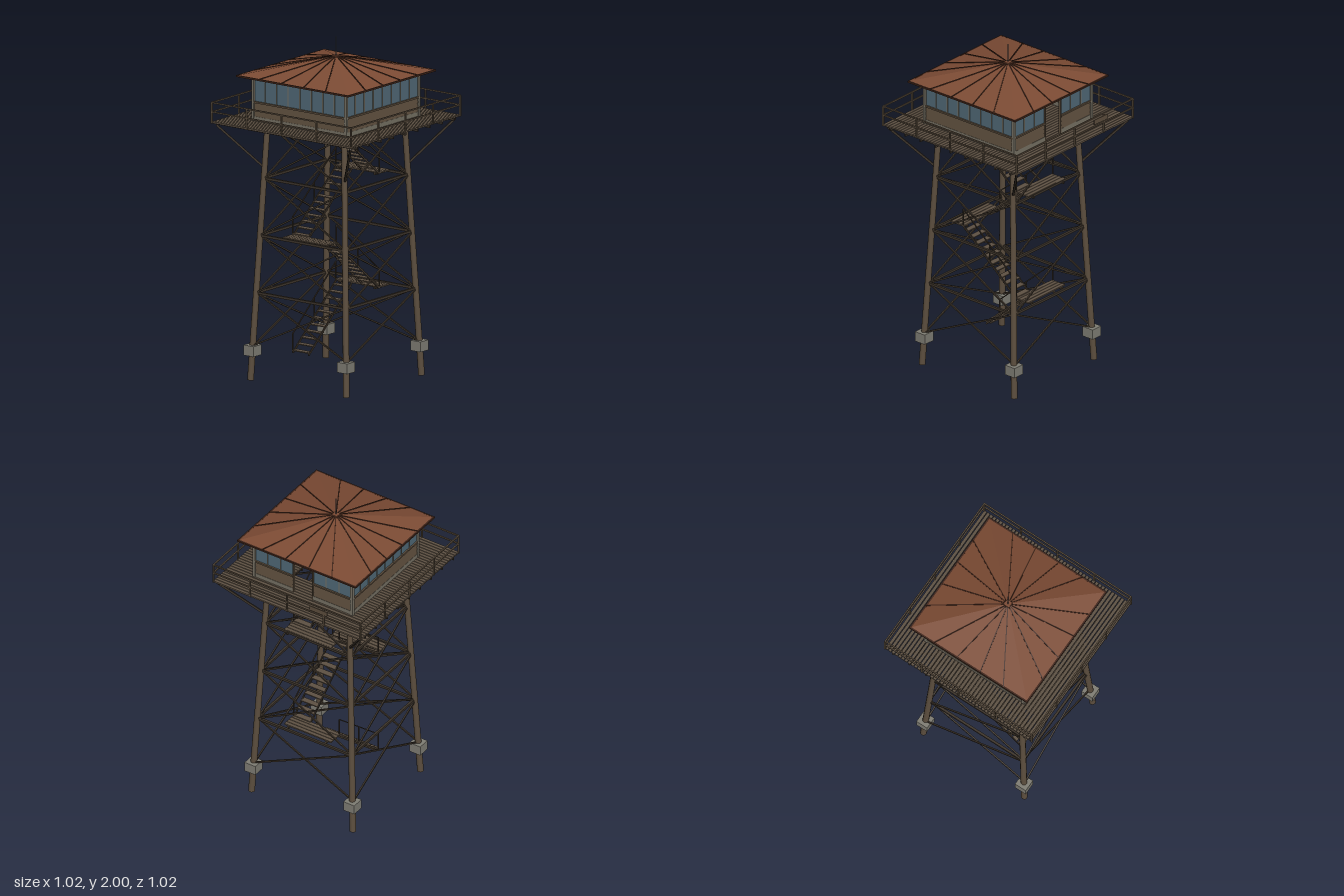
import * as THREE from 'three';

const mat = (name, color) => Object.assign(new THREE.MeshStandardMaterial({ color }), { name });

export function createModel() {
  const timber = mat('leg timber', 0x5c4e3e);
  const brace = mat('dark brace', 0x3d342a);
  const plank = mat('deck plank', 0x5e5143);
  const roofMat = mat('rust roof', 0x7c4b34);
  const seamMat = mat('roof seam', 0x402519);
  const glass = mat('window glass', 0x506876);
  const siding = mat('siding', 0x5c4d3c);
  const trim = mat('pale trim', 0x757063);
  const concrete = mat('concrete', 0x7f7d74);
  const metal = mat('mast metal', 0x4a5058);

  const model = new THREE.Group();
  model.name = 'lookoutTower';
  const group = (name, parent = model) => {
    const g = new THREE.Group();
    g.name = name;
    parent.add(g);
    return g;
  };
  const add = (parent, name, geo, m, x = 0, y = 0, z = 0) => {
    const mesh = new THREE.Mesh(geo, m);
    mesh.name = name;
    mesh.position.set(x, y, z);
    parent.add(mesh);
    return mesh;
  };
  const box = (parent, name, m, w, h, d, x, y, z) =>
    add(parent, name, new THREE.BoxGeometry(w, h, d), m, x, y, z);
  // Rectangular bar between two points, aimed in its parent's own frame
  const beam = (parent, name, m, a, b, w, h = w) => {
    const p = new THREE.Vector3(...a), q = new THREE.Vector3(...b);
    const mesh = new THREE.Mesh(new THREE.BoxGeometry(w, h, p.distanceTo(q)), m);
    mesh.name = name;
    mesh.position.copy(p).add(q).multiplyScalar(0.5);
    mesh.lookAt(q);
    parent.add(mesh);
  };
  // Four copies facing front, left, back and right
  const fourSides = (parent, build) => {
    for (let k = 0; k < 4; k++) {
      const g = group('side' + k, parent);
      g.rotation.y = k * Math.PI / 2;
      build(g, k);
    }
  };

  // Legs, footings, cross bracing and corner struts
  const legAt = y => 0.347 - 0.046 * y;
  const levels = [0.2, 0.51, 0.845, 1.18, 1.5];
  fourSides(group('frame'), g => {
    const a = new THREE.Vector3(legAt(0), 0, legAt(0));
    const b = new THREE.Vector3(legAt(1.5), 1.5, legAt(1.5));
    const leg = add(g, 'leg', new THREE.CylinderGeometry(0.017, 0.019, a.distanceTo(b), 12), timber);
    leg.position.copy(a).add(b).multiplyScalar(0.5);
    leg.quaternion.setFromUnitVectors(new THREE.Vector3(0, 1, 0), b.clone().sub(a).normalize());
    box(g, 'footing', concrete, 0.074, 0.06, 0.074, legAt(0.175), 0.175, legAt(0.175));
    for (let i = 0; i < 4; i++) {
      const y0 = levels[i], y1 = levels[i + 1], r0 = legAt(y0), r1 = legAt(y1);
      beam(g, 'crossBrace', brace, [-r0, y0, r0 + 0.005], [r1, y1, r1 + 0.005], 0.009);
      beam(g, 'crossBrace', brace, [r0, y0, r0 - 0.005], [-r1, y1, r1 - 0.005], 0.009);
      if (i) beam(g, 'girt', brace, [-r0, y0, r0], [r0, y0, r0], 0.014);
    }
    beam(g, 'deckStrut', brace, [legAt(1.24), 1.24, legAt(1.24)], [0.485, 1.5, 0.485], 0.012);
  });

  // Deck planks and joists, leaving the stair hatch open
  const deck = group('deck');
  const hatch = { x0: -0.22, x1: 0.19, z0: 0.04, z1: 0.155 };
  const strip = (name, m, x, y, w, h) => {
    const open = x > hatch.x0 && x < hatch.x1;
    const spans = open ? [[-0.505, hatch.z0], [hatch.z1, 0.505]] : [[-0.505, 0.505]];
    for (const [s, e] of spans) box(deck, name, m, w, h, e - s, x, y, (s + e) / 2);
  };
  for (let i = 0; i < 46; i++) strip('plank', plank, -0.495 + i * 0.022, 1.515, 0.018, 0.01);
  for (let i = -4; i <= 4; i++) strip('joist', brace, i * 0.113, 1.502, 0.01, 0.016);
  for (const z of [hatch.z0, hatch.z1]) box(deck, 'hatchBeam', brace, 1.0, 0.008, 0.006, 0, 1.513, z);

  // Guard rail round the deck
  fourSides(group('railing'), g => {
    for (const y of [1.577, 1.632]) box(g, 'rail', timber, 1.016, 0.008, 0.008, 0, y, 0.504);
    for (let i = 0; i < 4; i++) box(g, 'post', timber, 0.009, 0.122, 0.009, -0.504 + i * 0.252, 1.571, 0.504);
  });
  box(model, 'railPanel', siding, 0.006, 0.03, 0.12, 0.509, 1.606, -0.22);

  // Cabin walls: lapped boards, window band and an open doorway on the left
  fourSides(group('cabin'), (g, k) => {
    const spans = k === 1 ? [[-0.335, -0.067], [0.067, 0.335]] : [[-0.335, 0.335]];
    box(g, 'cornerPost', trim, 0.018, 0.262, 0.018, 0.335, 1.651, 0.335);
    box(g, 'topPlate', siding, 0.67, 0.012, 0.014, 0, 1.776, 0.334);
    for (const [s, e] of spans) {
      const w = e - s, c = (s + e) / 2, n = Math.round(w / 0.084);
      box(g, 'baseTrim', trim, w, 0.026, 0.014, c, 1.533, 0.333);
      for (let i = 0; i < 3; i++) {
        const board = box(g, 'sidingBoard', siding, w, 0.029, 0.01, c, 1.559 + i * 0.026, 0.331);
        board.rotation.x = -0.18;
      }
      box(g, 'sill', siding, w, 0.01, 0.02, c, 1.63, 0.334);
      box(g, 'windowBand', glass, w, 0.142, 0.006, c, 1.703, 0.331);
      for (let i = 0; i <= n; i++) box(g, 'mullion', trim, 0.006, 0.14, 0.012, s + w * i / n, 1.703, 0.332);
    }
    if (k === 1) for (const x of [-0.067, 0.067]) box(g, 'doorJamb', siding, 0.008, 0.256, 0.016, x, 1.648, 0.333);
  });

  // Pyramid roof with raised seams
  const roof = group('roof');
  const pyramid = new THREE.ConeGeometry(0.403 * Math.SQRT2, 0.1, 4).toNonIndexed();
  pyramid.rotateY(Math.PI / 4);
  pyramid.computeVertexNormals();
  add(roof, 'roofPanels', pyramid, roofMat, 0, 1.836, 0);
  fourSides(roof, g => {
    box(g, 'eave', seamMat, 0.812, 0.01, 0.01, 0, 1.783, 0.401);
    for (const x of [-0.24, -0.08, 0.08, 0.24])
      beam(g, 'seam', seamMat, [0, 1.886, 0], [x, 1.787, 0.403], 0.006);
  });
  box(roof, 'roofCap', roofMat, 0.036, 0.01, 0.036, 0, 1.886, 0);
  add(roof, 'mast', new THREE.CylinderGeometry(0.0025, 0.0035, 0.115, 8), metal, 0, 1.9425, 0);

  // Zigzag stairs with an outer handrail on each flight
  const stairs = group('stairs');
  const stops = [0.16, 0.51, 0.845, 1.18, 1.515];
  for (let f = 0; f < 4; f++) {
    const flight = group('flight', stairs);
    const dir = f % 2 ? -1 : 1, side = f % 2 ? 1 : -1;
    const y0 = stops[f], y1 = stops[f + 1];
    const at = (t, z, up = 0) => [dir * (-0.2 + 0.4 * t), y0 + (y1 - y0) * t + up, side * z];
    for (const z of [0.042, 0.155]) beam(flight, 'stringer', brace, at(0, z), at(1, z), 0.006, 0.011);
    for (let i = 0; i < 11; i++) {
      const [x, y, z] = at((i + 0.4) / 11, 0.0985);
      box(flight, 'tread', plank, 0.036, 0.006, 0.112, x, y, z);
    }
    beam(flight, 'handrail', brace, at(0, 0.157, 0.11), at(1, 0.157, 0.11), 0.006);
    for (const t of [0, 0.5, 1]) beam(flight, 'railPost', brace, at(t, 0.157), at(t, 0.157, 0.11), 0.006);
    // Landing at the head of the flight
    if (f < 3) {
      for (let i = 0; i < 4; i++)
        box(stairs, 'landingPlank', plank, 0.022, 0.008, 0.32, dir * (0.205 + i * 0.025), y1 + 0.004, 0);
      for (const z of [-0.13, 0.13])
        box(stairs, 'landingBearer', brace, 0.12, 0.01, 0.012, dir * 0.25, y1 - 0.005, z);
    }
  }
  return model;
}
